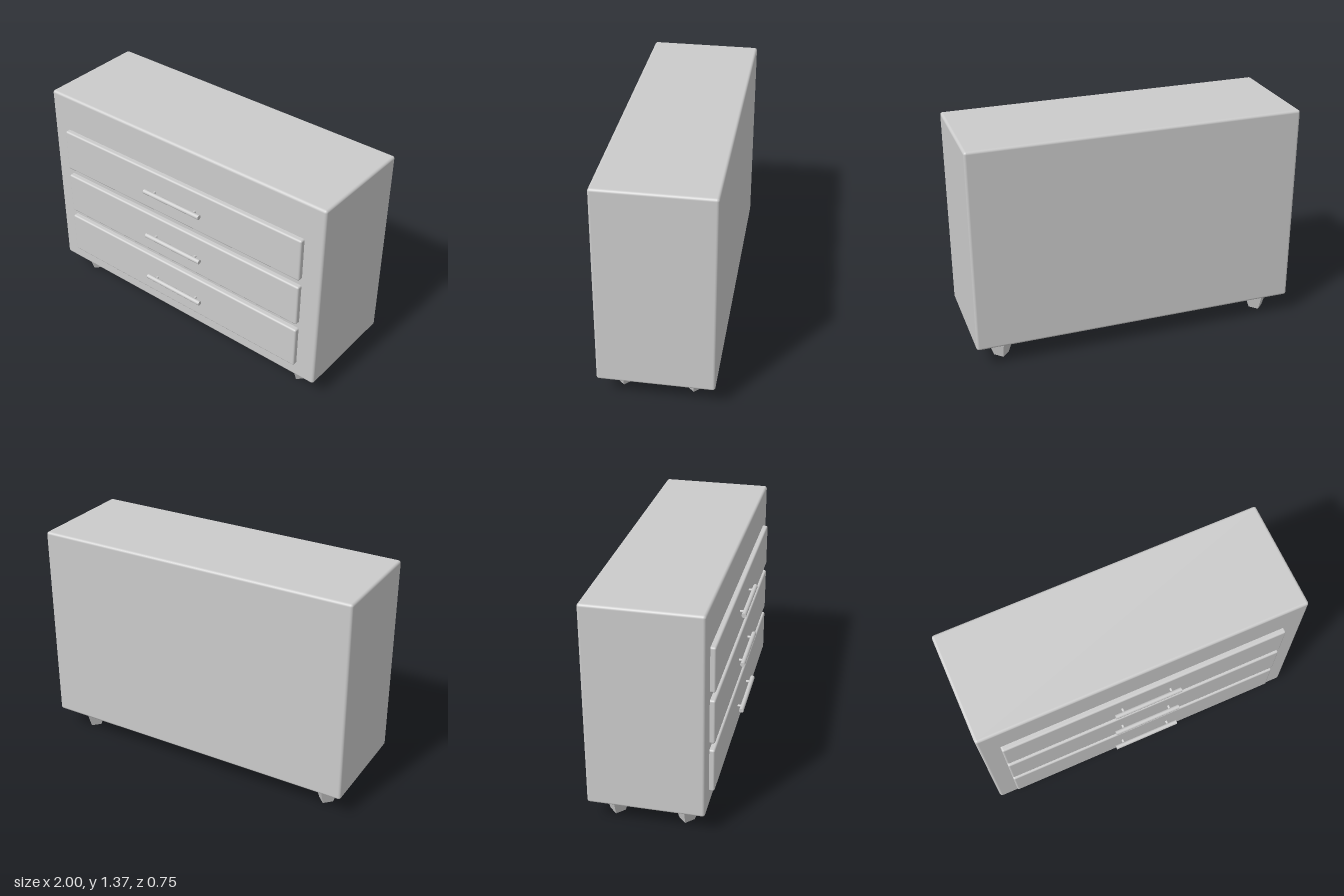
import * as THREE from 'three';
import { RoundedBoxGeometry } from 'three/addons/geometries/RoundedBoxGeometry.js';

export function createModel() {
  const group = new THREE.Group();
  const smooth = new THREE.MeshStandardMaterial({ color: 0xcccccc });
  const faceted = new THREE.MeshStandardMaterial({ color: 0xcccccc, flatShading: true });

  const add = (parent, name, geometry, material, x, y, z) => {
    const mesh = new THREE.Mesh(geometry, material);
    mesh.name = name;
    mesh.position.set(x, y, z);
    parent.add(mesh);
    return mesh;
  };

  // Cabinet body with softly rounded edges
  add(group, 'body', new RoundedBoxGeometry(2, 1.24, 0.678, 3, 0.016), smooth, 0, 0.75, -0.038);

  // Three drawers, each with a bar handle on two stems
  const frontGeometry = new RoundedBoxGeometry(1.762, 0.272, 0.06, 3, 0.011);
  const barGeometry = new THREE.CylinderGeometry(0.014, 0.014, 0.416, 20).rotateZ(Math.PI / 2);
  const stemGeometry = new THREE.CylinderGeometry(0.008, 0.008, 0.044, 12).rotateX(Math.PI / 2);
  [0.366, 0.681, 1.001].forEach((y, i) => {
    const drawer = new THREE.Group();
    drawer.name = `drawer${i + 1}`;
    drawer.position.set(-0.003, y, 0);
    group.add(drawer);
    const handleY = [-0.008, -0.004, 0][i];
    add(drawer, 'drawerFront', frontGeometry, smooth, 0, 0, 0.302);
    add(drawer, 'handleBar', barGeometry, smooth, -0.002, handleY, 0.363);
    for (const side of [-1, 1]) {
      add(drawer, 'handleStem', stemGeometry, smooth, -0.002 + side * 0.152, handleY, 0.345);
    }
  });

  // Four tapered four-sided feet, corners facing along the axes
  const footGeometry = new THREE.CylinderGeometry(0.092, 0.045, 0.135, 4);
  for (const x of [-0.856, 0.829]) {
    for (const z of [-0.239, 0.17]) add(group, 'foot', footGeometry, faceted, x, 0.0675, z);
  }

  return group;
}
